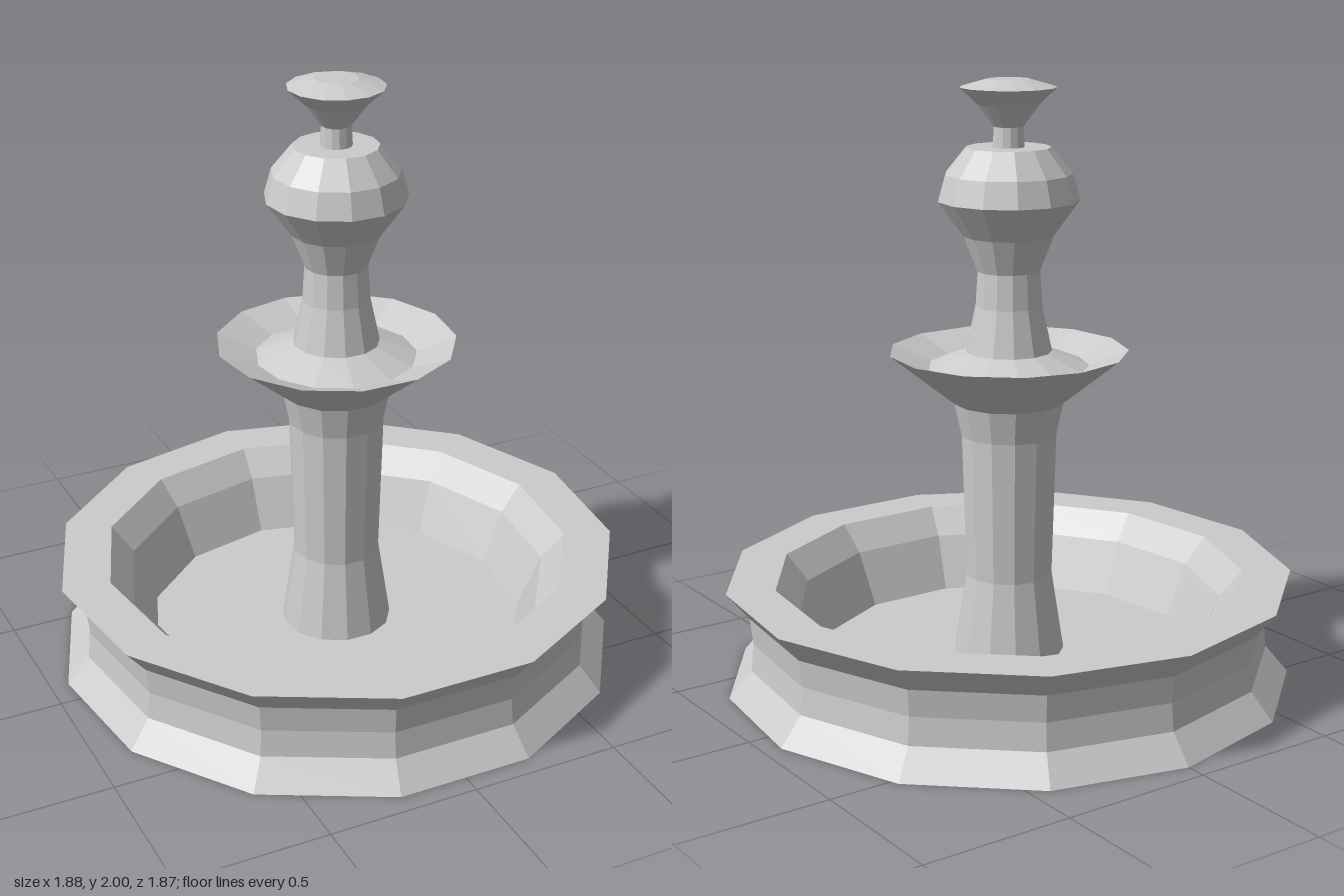
import * as THREE from 'three';

const SIDES = 13;

// Faceted part turned from [radius, height] pairs, listed outside-bottom to top;
// one corner points to the back (-z).
function turned(name, profile, material) {
  const points = profile.map(([r, y]) => new THREE.Vector2(r, y));
  const mesh = new THREE.Mesh(
    new THREE.LatheGeometry(points, SIDES, Math.PI, Math.PI * 2), material);
  mesh.name = name;
  return mesh;
}

export function createModel() {
  const stone = new THREE.MeshStandardMaterial({ color: 0xcccccc, flatShading: true });
  const fountain = new THREE.Group();
  fountain.name = 'fountain';

  // Pool: waisted outer wall, flat rim, sloping inside and floor
  fountain.add(turned('basin', [
    [0, 0], [0.947, 0], [0.872, 0.09], [0.862, 0.18], [0.872, 0.27], [0.947, 0.36],
    [0.785, 0.36], [0.71, 0.27], [0.633, 0.09], [0, 0.09],
  ], stone));

  // Lower shaft with a flared foot
  fountain.add(turned('lowerColumn', [
    [0.185, 0.09], [0.144, 0.36], [0.158, 0.84], [0.182, 0.95],
  ], stone));

  // Upper dish, its inside rising again towards the shaft
  fountain.add(turned('upperBowl', [
    [0.182, 0.95], [0.394, 1.12], [0.265, 1.07], [0.142, 1.12],
  ], stone));

  // Upper shaft swelling into a bulb
  fountain.add(turned('bulbColumn', [
    [0.142, 1.12], [0.11, 1.27], [0.103, 1.385], [0.148, 1.5], [0.231, 1.615],
    [0.207, 1.7], [0.138, 1.785], [0, 1.785],
  ], stone));

  // Spout on top
  fountain.add(turned('finial', [
    [0.052, 1.785], [0.048, 1.85], [0.1, 1.92], [0.157, 1.975], [0.07, 2], [0, 2],
  ], stone));

  // An odd number of sides is deeper at the back, so shift to centre it
  fountain.position.z = 0.013;
  const model = new THREE.Group();
  model.add(fountain);
  return model;
}
